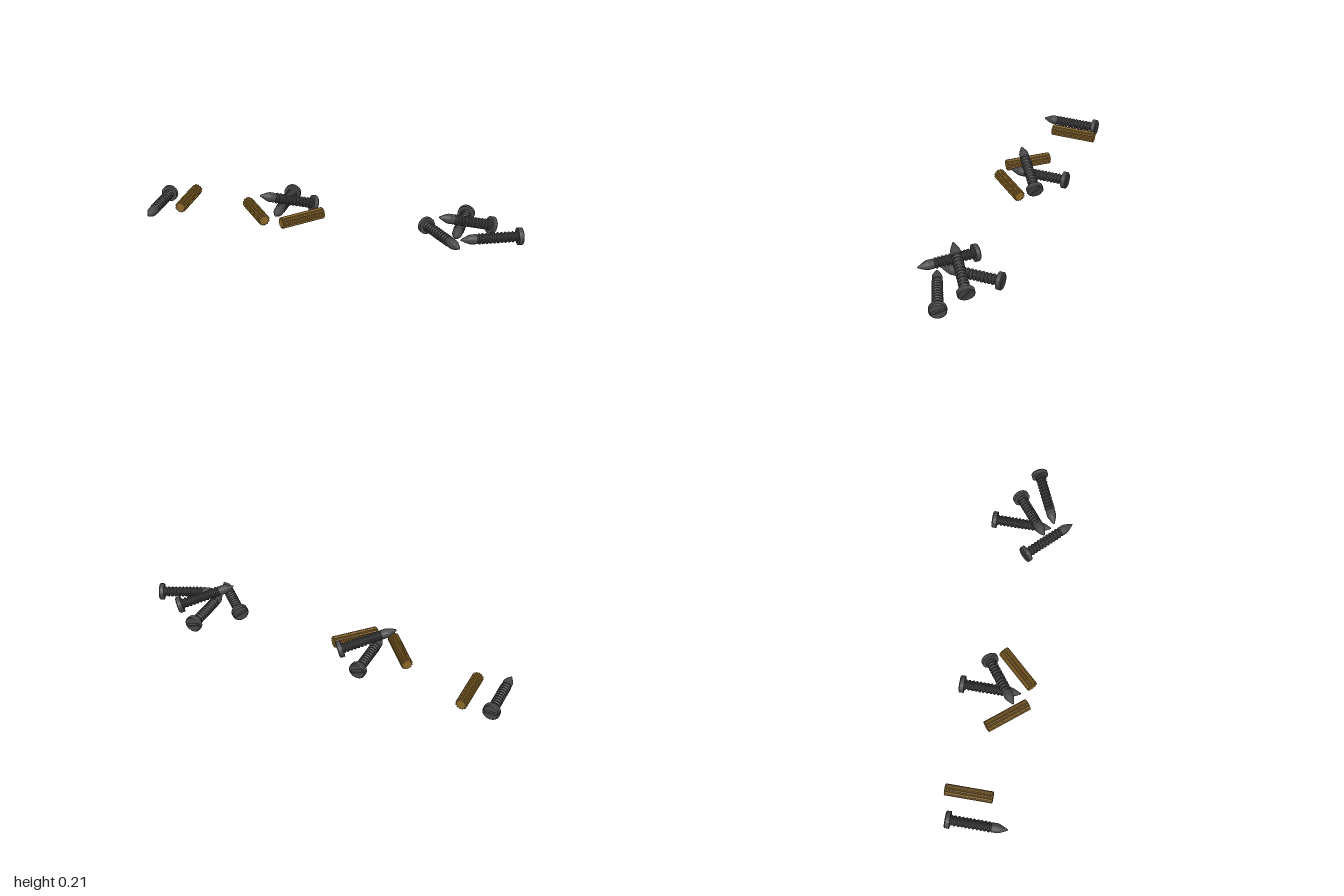
import * as THREE from 'three';

const steel = new THREE.MeshStandardMaterial({ color: 0x484848, flatShading: true });
const wood = new THREE.MeshStandardMaterial({ color: 0x8c6828, flatShading: true });

const SCREW_LENGTH = 0.316, HEAD_RADIUS = 0.044, HEAD_HEIGHT = 0.026, SLOT_DEPTH = 0.009;
const V = (p) => new THREE.Vector3(...p);

// Shank profile from tip to head: blunt point, plain collar, then thread ridges
function shankGeometry() {
  const pts = [[0, -0.316], [0.004, -0.313], [0.013, -0.295], [0.021, -0.277], [0.025, -0.264],
    [0.025, -0.234]];
  const pitch = 0.019;
  for (let i = 0; i < 11; i++) {
    const y = -0.234 + i * pitch;
    pts.push([0.0225, y + 0.003], [0.0225, y + 0.007], [0.0275, y + 0.011], [0.0275, y + 0.016]);
  }
  pts.push([0.0225, -0.022]);
  return new THREE.LatheGeometry(pts.map((p) => new THREE.Vector2(...p)), 16).rotateX(Math.PI / 2);
}

// Upper head: chamfered disc with a slot cut in it
function slottedCapGeometry() {
  const disc = new THREE.Shape();
  for (let i = 0; i < 20; i++) {
    const a = (i / 20) * Math.PI * 2;
    disc[i ? 'lineTo' : 'moveTo'](Math.cos(a) * HEAD_RADIUS, Math.sin(a) * HEAD_RADIUS);
  }
  disc.closePath();
  const w = 0.036, h = 0.008;
  disc.holes.push(new THREE.Path([[-w, -h], [-w, h], [w, h], [w, -h]].map((p) => new THREE.Vector2(...p))));
  const geo = new THREE.ExtrudeGeometry(disc, { depth: SLOT_DEPTH, steps: 2, bevelEnabled: false });
  geo.translate(0, 0, -SLOT_DEPTH);
  const pos = geo.attributes.position;
  for (let i = 0; i < pos.count; i++) {
    const x = pos.getX(i), y = pos.getY(i);
    if (pos.getZ(i) > -0.001 && Math.hypot(x, y) > HEAD_RADIUS * 0.98) pos.setXY(i, x * 0.9, y * 0.9);
  }
  geo.computeVertexNormals();
  return geo;
}

// Fluted dowel pin with lightly chamfered ends, centred along z
function dowelGeometry(length) {
  const shape = new THREE.Shape();
  const flutes = 12;
  for (let i = 0; i < flutes; i++) {
    [[0, 0.026], [0.22, 0.03], [0.62, 0.03], [0.84, 0.026]].forEach(([f, r], k) => {
      const a = ((i + f) / flutes) * Math.PI * 2;
      shape[i || k ? 'lineTo' : 'moveTo'](Math.cos(a) * r, Math.sin(a) * r);
    });
  }
  shape.closePath();
  const b = 0.003;
  const geo = new THREE.ExtrudeGeometry(shape, {
    depth: length - 2 * b, bevelThickness: b, bevelSize: b, bevelOffset: -b, bevelSegments: 1,
  });
  return geo.translate(0, 0, b - length / 2);
}

function named(name, geometry, material) {
  const mesh = new THREE.Mesh(geometry, material);
  mesh.name = name;
  return mesh;
}

export function createModel() {
  const model = new THREE.Group();
  model.name = 'screwsAndDowels';

  const shank = shankGeometry();
  const cap = slottedCapGeometry();
  const baseHeight = HEAD_HEIGHT - SLOT_DEPTH;
  const headBase = new THREE.CylinderGeometry(HEAD_RADIUS, HEAD_RADIUS, baseHeight, 20)
    .rotateX(Math.PI / 2).rotateZ(Math.PI / 2).translate(0, 0, -SLOT_DEPTH - baseHeight / 2);

  // Place a screw by its head centre, a point it aims at, and the roll of its slot
  function addScrew(name, head, tip, roll) {
    const screw = new THREE.Group();
    screw.name = name;
    screw.add(named('threadedShank', shank, steel), named('headBase', headBase, steel),
      named('slottedHead', cap, steel));
    const dir = V(tip).sub(V(head)).normalize();
    const right = dir.clone().cross(V([0, 1, 0])).normalize();
    const slot = right.applyAxisAngle(dir, -THREE.MathUtils.degToRad(roll));
    const out = dir.clone().negate();
    const across = out.clone().cross(slot);
    screw.quaternion.setFromRotationMatrix(new THREE.Matrix4().makeBasis(slot, across, out));
    screw.position.copy(V(head));
    model.add(screw);
  }

  function addDowel(name, from, to) {
    const a = V(from), b = V(to);
    const dowel = named(name, dowelGeometry(a.distanceTo(b)), wood);
    dowel.position.copy(a).add(b).multiplyScalar(0.5);
    dowel.lookAt(b);
    model.add(dowel);
  }

  // Lone pair
  addScrew('singleScrew', [-0.956, 0.045, -0.158], [-0.956, 0.045, 0.158], 0);
  addDowel('singleDowel', [-0.813, 0.068, -0.187], [-0.813, 0.068, 0.058]);

  // Each pile has one flat screw with a tilted one resting across it
  [['middle', -0.271], ['left', 0.665]].forEach(([pile, x]) => {
    addScrew(pile + 'FlatScrew', [x, 0.111, -0.212], [x, 0.111, 0.104], 20);
    addScrew(pile + 'LeaningScrew', [x + 0.16, 0.113, -0.091], [x - 0.088, 0.204, 0.079], 50);
  });

  // Dowels of the middle pile
  addDowel('middleDowelRight', [-0.47, 0.1, -0.04], [-0.315, 0.1, 0.148]);
  addDowel('middleDowelLeft', [-0.056, 0.1, -0.024], [-0.222, 0.1, 0.155]);

  // Extra screws of the left pile
  addScrew('leftOuterScrew', [0.982, 0.111, -0.014], [0.694, 0.111, 0.115], 20);
  addScrew('leftInnerScrew', [0.487, 0.111, -0.013], [0.71, 0.111, 0.211], 20);

  return model;
}
